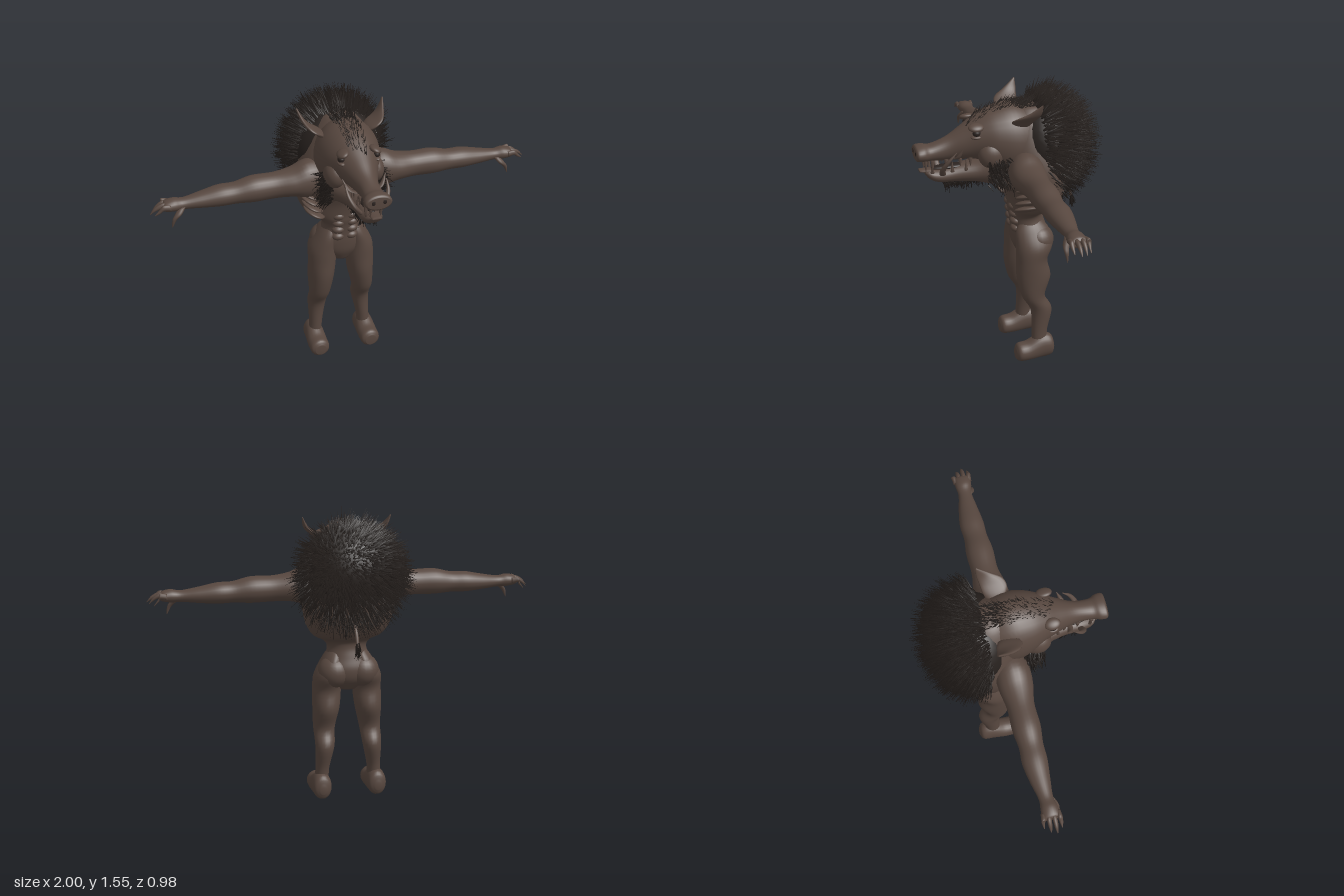
import * as THREE from 'three';

const skin = new THREE.MeshStandardMaterial({ color: 0x57473f });
skin.name = 'brown hide';
const hair = new THREE.MeshStandardMaterial({ color: 0x26201d, side: THREE.DoubleSide });
hair.name = 'dark bristle';
const dark = new THREE.MeshStandardMaterial({ color: 0x2b2320 });
dark.name = 'eye dark';

let seed = 7;
const rand = (a = 0, b = 1) => {
  seed = (seed * 16807) % 2147483647;
  return a + (b - a) * (seed / 2147483647);
};

// Smooth closed skin through elliptical sections [x, y, z, radiusU, radiusV] along one axis.
// Radii run (y,z) for axis x, (z,x) for axis y, (x,y) for axis z. Nothing goes below the floor.
function loft(axis, sections, sides = 24, steps = 5) {
  const k = 'xyz'.indexOf(axis), u = (k + 1) % 3, v = (k + 2) % 3;
  const s = sections[0][k] < sections[sections.length - 1][k] ? sections : [...sections].reverse();
  const path = new THREE.CatmullRomCurve3(s.map(p => new THREE.Vector3(p[0], p[1], p[2])), false, 'catmullrom');
  const size = new THREE.CatmullRomCurve3(s.map(p => new THREE.Vector3(p[3], p[4], 0)), false, 'catmullrom');
  const rings = (s.length - 1) * steps, pos = [], idx = [];
  for (let i = 0; i <= rings; i++) {
    const c = path.getPoint(i / rings).toArray(), r = size.getPoint(i / rings);
    for (let j = 0; j < sides; j++) {
      const a = (j / sides) * Math.PI * 2, p = [...c];
      p[u] += Math.cos(a) * Math.max(r.x, 0.001);
      p[v] += Math.sin(a) * Math.max(r.y, 0.001);
      p[1] = Math.max(p[1], 0);
      pos.push(...p);
      if (i < rings) {
        const q = i * sides + j, w = i * sides + (j + 1) % sides;
        idx.push(q, w, w + sides, q, w + sides, q + sides);
      }
    }
  }
  const first = pos.length / 3, top = rings * sides;
  pos.push(...path.getPoint(0).toArray(), ...path.getPoint(1).toArray());
  for (let j = 0; j < sides; j++) {
    const n = (j + 1) % sides;
    idx.push(first, n, j, first + 1, top + j, top + n);
  }
  const g = new THREE.BufferGeometry();
  g.setAttribute('position', new THREE.Float32BufferAttribute(pos, 3));
  g.setIndex(idx);
  g.computeVertexNormals();
  return g;
}

// Many thin three-sided bristles; place() returns root, direction and length
function bristles(count, place, width = 0.006) {
  const pos = [], idx = [];
  for (let i = 0; i < count; i++) {
    const [p, d, len] = place();
    d.normalize();
    const a = new THREE.Vector3(d.y, -d.z, d.x).cross(d).normalize();
    const b = d.clone().cross(a), o = pos.length / 3;
    for (let j = 0; j < 3; j++) {
      const t = j * Math.PI * 2 / 3;
      pos.push(...p.clone().addScaledVector(a, Math.cos(t) * width).addScaledVector(b, Math.sin(t) * width).toArray());
      idx.push(o + j, o + (j + 1) % 3, o + 3);
    }
    pos.push(...p.clone().addScaledVector(d, len).toArray());
  }
  const g = new THREE.BufferGeometry();
  g.setAttribute('position', new THREE.Float32BufferAttribute(pos, 3));
  g.setIndex(idx);
  g.computeVertexNormals();
  return g;
}

export function createModel() {
  const model = new THREE.Group();
  const V = (x, y, z) => new THREE.Vector3(x, y, z);
  const add = (name, geo, mat = skin) => {
    const m = new THREE.Mesh(geo, mat);
    m.name = name;
    model.add(m);
    return m;
  };
  const ball = (name, p, r, mat = skin, rotZ = 0) => {
    const m = add(name, new THREE.SphereGeometry(1, 24, 16), mat);
    m.position.set(...p);
    m.scale.set(...r);
    m.rotation.z = rotZ;
  };

  // Trunk
  add('torso', loft('y', [
    [0, 0.58, -0.09, 0.05, 0.05], [0, 0.64, -0.1, 0.09, 0.12], [0, 0.7, -0.1, 0.1, 0.14],
    [0, 0.76, -0.09, 0.092, 0.112], [0, 0.81, -0.08, 0.088, 0.103], [0, 0.845, -0.08, 0.095, 0.13],
    [0, 0.88, -0.105, 0.122, 0.185], [0, 0.95, -0.12, 0.15, 0.222], [0, 1.03, -0.12, 0.18, 0.235],
    [0, 1.12, -0.12, 0.195, 0.23], [0, 1.22, -0.12, 0.2, 0.2], [0, 1.32, -0.12, 0.17, 0.15],
    [0, 1.4, -0.1, 0.09, 0.08], [0, 1.42, -0.1, 0.02, 0.02]], 40));

  // Head, jaw and nose
  add('head', loft('z', [
    [0, 1.22, -0.12, 0.14, 0.17], [0, 1.23, 0, 0.165, 0.2], [0, 1.25, 0.1, 0.15, 0.165],
    [0, 1.265, 0.18, 0.115, 0.115], [0, 1.245, 0.26, 0.08, 0.085], [0, 1.222, 0.34, 0.054, 0.06],
    [0, 1.212, 0.42, 0.052, 0.043], [0, 1.215, 0.46, 0.066, 0.043], [0, 1.215, 0.49, 0.068, 0.04],
    [0, 1.215, 0.5, 0.058, 0.03]], 32));
  add('lowerJaw', loft('z', [
    [0, 1.13, -0.02, 0.14, 0.12], [0, 1.1, 0.1, 0.125, 0.09], [0, 1.09, 0.19, 0.08, 0.06],
    [0, 1.087, 0.29, 0.056, 0.045], [0, 1.085, 0.38, 0.052, 0.036], [0, 1.098, 0.43, 0.044, 0.026],
    [0, 1.112, 0.455, 0.02, 0.008]], 28));
  add('lowerIncisors', loft('z', [[0, 1.115, 0.42, 0.03, 0.012], [0, 1.12, 0.48, 0.024, 0.006]], 12));
  ball('tongue', [0, 1.125, 0.32], [0.03, 0.012, 0.1], dark);

  for (const s of [1, -1]) {
    const side = s > 0 ? 'left' : 'right';
    const limb = (name, axis, secs, sides, steps) =>
      add(side + name, loft(axis, secs.map(([x, ...r]) => [x * s, ...r]), sides, steps));
    const lump = (name, p, r, mat, rot = 0) => ball(side + name, [p[0] * s, p[1], p[2]], r, mat, rot * s);

    // Face
    lump('Eye', [0.09, 1.318, 0.205], [0.018, 0.018, 0.02], dark);
    lump('Brow', [0.083, 1.345, 0.205], [0.03, 0.016, 0.04], skin, -0.4);
    lump('LowerLid', [0.09, 1.297, 0.205], [0.02, 0.01, 0.03]);
    lump('Cheek', [0.1, 1.2, 0.13], [0.055, 0.07, 0.07]);
    lump('Nostril', [0.028, 1.22, 0.496], [0.013, 0.016, 0.006], dark);
    limb('Ear', 'y', [
      [0.1, 1.33, -0.03, 0.03, 0.025], [0.14, 1.37, -0.02, 0.06, 0.024], [0.182, 1.4, -0.03, 0.058, 0.018],
      [0.207, 1.43, -0.06, 0.034, 0.011], [0.225, 1.475, -0.09, 0.003, 0.003]], 16);
    limb('LowerTusk', 'y', [
      [0.045, 1.1, 0.37, 0.016, 0.014], [0.075, 1.14, 0.375, 0.015, 0.013],
      [0.1, 1.19, 0.35, 0.011, 0.01], [0.105, 1.235, 0.31, 0.002, 0.002]], 10);
    limb('UpperTusk', 'y', [
      [0.045, 1.18, 0.31, 0.013, 0.012], [0.085, 1.2, 0.3, 0.013, 0.012], [0.11, 1.25, 0.28, 0.002, 0.002]], 10);
    for (const [x, z, tip] of [[0.025, 0.45, 1.12], [0.042, 0.42, 1.115], [0.045, 0.35, 1.135], [0.05, 0.28, 1.14], [0.06, 0.23, 1.14]])
      limb('UpperTooth', 'y', [[x, 1.18, z, 0.011, 0.009], [x, tip, z, 0.002, 0.002]], 8, 2);
    for (const [x, z] of [[0.035, 0.42], [0.045, 0.32], [0.05, 0.25]])
      limb('LowerTooth', 'y', [[x, 1.11, z, 0.01, 0.008], [x, 1.165, z, 0.002, 0.002]], 8, 2);

    // Chest, ribs and belly
    lump('Pectoral', [0.09, 1.05, 0.01], [0.1, 0.065, 0.065], skin, 0.15);
    for (let i = 0; i < 4; i++)
      lump('Rib', [0.155 + i * 0.008, 0.9 + i * 0.038, -0.05], [0.06, 0.016, 0.08], skin, 0.45);
    for (let i = 0; i < 4; i++)
      lump('Abdominal', [0.036, 0.745 + i * 0.043, -0.018 + i * 0.004], [0.035, 0.023, 0.03]);
    lump('Buttock', [0.075, 0.68, -0.125], [0.085, 0.085, 0.085]);

    // Leg and foot
    limb('Leg', 'y', [
      [0.145, 0.05, -0.12, 0.045, 0.04], [0.138, 0.15, -0.12, 0.042, 0.036], [0.126, 0.28, -0.132, 0.058, 0.05],
      [0.122, 0.37, -0.088, 0.062, 0.057], [0.112, 0.48, -0.092, 0.092, 0.07], [0.106, 0.58, -0.083, 0.083, 0.075],
      [0.1, 0.66, -0.098, 0.098, 0.075], [0.08, 0.74, -0.095, 0.09, 0.052], [0.06, 0.8, -0.085, 0.05, 0.03]]);
    limb('Foot', 'z', [
      [0.147, 0.05, -0.2, 0.015, 0.02], [0.147, 0.06, -0.18, 0.046, 0.062], [0.147, 0.06, -0.12, 0.052, 0.072],
      [0.148, 0.043, -0.05, 0.055, 0.055], [0.148, 0.04, 0, 0.052, 0.05], [0.148, 0.035, 0.018, 0.03, 0.03]]);

    // Arm and hand
    limb('Arm', 'x', [
      [0.1, 1.12, -0.04, 0.09, 0.09], [0.2, 1.12, -0.02, 0.1, 0.09], [0.28, 1.113, -0.018, 0.075, 0.084],
      [0.37, 1.108, -0.02, 0.066, 0.068], [0.48, 1.107, -0.02, 0.067, 0.07], [0.57, 1.1, -0.02, 0.054, 0.06],
      [0.65, 1.098, -0.022, 0.053, 0.062], [0.74, 1.093, -0.02, 0.041, 0.05], [0.83, 1.09, -0.015, 0.029, 0.035],
      [0.88, 1.093, -0.012, 0.033, 0.042], [0.92, 1.093, -0.012, 0.026, 0.043], [0.935, 1.09, -0.012, 0.015, 0.035]]);
    for (let i = 0; i < 4; i++) {
      const z = -0.048 + i * 0.024, end = [0.965, 0.99, 1, 0.98][i];
      limb('Finger', 'x', [
        [0.9, 1.095, z, 0.015, 0.012], [0.935, 1.1, z * 1.1, 0.014, 0.012], [end - 0.025, 1.085, z * 1.15, 0.01, 0.009],
        [end, 1.055 + 0.004 * i, z * 1.15, 0.002, 0.002]], 10);
    }
    limb('Thumb', 'y', [
      [0.84, 1.085, 0.005, 0.018, 0.018], [0.865, 1.055, 0.025, 0.015, 0.018],
      [0.888, 1.03, 0.03, 0.01, 0.011], [0.902, 0.99, 0.03, 0.002, 0.002]], 10);

    // Cheek whiskers
    add(side + 'CheekTuft', bristles(260, () => [
      V(s * rand(0.1, 0.145), rand(1.05, 1.2), rand(0.02, 0.16)),
      V(s * rand(0.5, 1), rand(-1.3, 0), rand(-0.7, 0.2)), rand(0.05, 0.09)], 0.005), hair);
  }

  // Shaggy back: solid undercoat plus bristles
  const mid = V(0, 1.2, -0.165), rad = V(0.225, 0.225, 0.18);
  ball('backUndercoat', mid.toArray(), rad.toArray(), hair);
  add('backBristles', bristles(3800, () => {
    const a = rand(0, Math.PI * 2), z = rand(-1, 0.3), r = Math.sqrt(1 - z * z);
    const n = V(Math.cos(a) * r, Math.sin(a) * r, z);
    const root = n.clone().multiply(rad).add(mid);
    return [root, n.multiplyScalar(0.75).add(V(rand(-0.2, 0.2), rand(-0.35, 0.15), rand(-1, -0.4))), rand(0.06, 0.14)];
  }, 0.0055), hair);

  // Crest from forehead to nape, and the beard under the jaw
  add('crest', bristles(700, () => {
    const z = rand(-0.15, 0.25), top = 1.425 - Math.max(0, z) ** 2 * 1.3;
    const x = rand(-1, 1) * (0.03 + 0.07 * (0.25 - z));
    return [V(x, top - 0.02 - x * x * 4, z), V(x * 6 + rand(-0.2, 0.2), rand(0.4, 0.9), rand(-1.2, -0.4)), rand(0.04, 0.075)];
  }, 0.005), hair);
  add('beard', bristles(300, () => {
    const z = rand(0.1, 0.36);
    return [V(rand(-0.04, 0.04), 1.045, z), V(rand(-0.3, 0.3), -1, rand(-0.5, 0.1)), rand(0.02, 0.055)];
  }, 0.004), hair);

  // Tail with tuft
  add('tail', loft('y', [
    [0, 0.97, -0.25, 0.02, 0.015], [0, 0.94, -0.3, 0.012, 0.01],
    [0, 0.9, -0.325, 0.009, 0.009], [0, 0.85, -0.345, 0.006, 0.006]], 10));
  add('tailTuft', bristles(70, () => [
    V(rand(-0.008, 0.008), rand(0.845, 0.885), -0.338), V(rand(-0.3, 0.3), -1, rand(-0.65, 0.2)), rand(0.03, 0.06)], 0.004), hair);

  return model;
}
